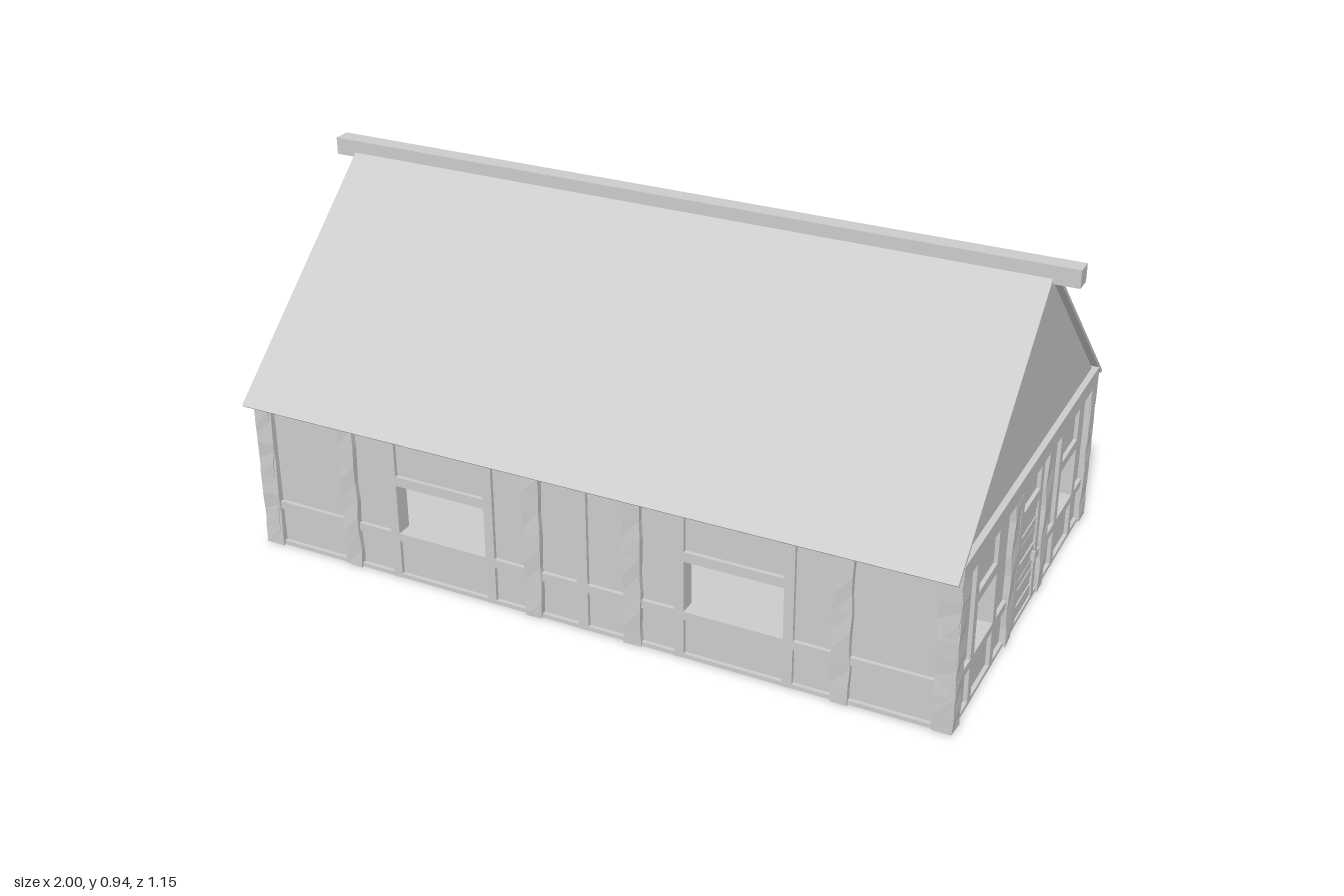
import * as THREE from 'three';

const material = new THREE.MeshStandardMaterial({ color: 0xcccccc, flatShading: true, side: THREE.DoubleSide });
const HALF_X = 0.937, HALF_Z = 0.54, WALL_TOP = 0.395, PLATE_TOP = 0.44;
const SILL = 0.13, LINTEL = 0.267, DEPTH = 0.05;

function add(parent, name, geometry) {
  const mesh = new THREE.Mesh(geometry, material);
  mesh.name = name;
  parent.add(mesh);
  return mesh;
}

// Box given by its limits on each axis
function box(parent, name, [x0, x1], [y0, y1], [z0, z1], segY = 1) {
  const g = new THREE.BoxGeometry(x1 - x0, y1 - y0, z1 - z0, 1, segY, 1);
  g.translate((x0 + x1) / 2, (y0 + y1) / 2, (z0 + z1) / 2);
  return add(parent, name, g);
}

// Upright post with a gently uneven, hand-hewn outline
function post(parent, x0, x1, seed) {
  const mesh = box(parent, 'post', [x0, x1], [0, WALL_TOP], [-DEPTH, 0], 8);
  const p = mesh.geometry.attributes.position;
  for (let i = 0; i < p.count; i++) {
    const y = p.getY(i), side = Math.sign(p.getX(i) - (x0 + x1) / 2);
    p.setX(i, p.getX(i) + 0.002 * Math.sin(y * 43 + seed * 2.3 + side));
    if (p.getZ(i) > -0.01) p.setZ(i, 0.002 * Math.sin(y * 37 + seed * 1.7 + side * 2));
  }
  mesh.geometry.computeVertexNormals();
}

function rectPath(x0, x1, y0, y1) {
  return new THREE.Path([[x0, y0], [x1, y0], [x1, y1], [x0, y1]].map(([x, y]) => new THREE.Vector2(x, y)));
}

// Timber-framed wall: local x runs along it, local z = 0 is its outer face
function buildWall(name, half, { posts, windows, studs, rails, door }) {
  const wall = new THREE.Group();
  wall.name = name;

  // Recessed infill with openings
  const inner = half - 0.02;
  const shape = new THREE.Shape(rectPath(-inner, inner, 0, WALL_TOP + 0.02).getPoints());
  for (const [a, b] of windows) shape.holes.push(rectPath(a, b, SILL, LINTEL));
  const infill = new THREE.ExtrudeGeometry(shape, { depth: 0.03, bevelEnabled: false });
  infill.translate(0, 0, -0.045);
  add(wall, 'infill', infill);

  // Posts, studs and middle rails
  posts.forEach(([a, b], i) => post(wall, a, b, i + half * 5));
  const front = [-DEPTH + 0.002, -0.005];
  for (const s of studs) box(wall, 'stud', s, [0, WALL_TOP], front);
  for (const r of rails) box(wall, 'rail', r, [0.108, SILL], front);

  // Window sills and lintels
  for (const w of windows) {
    box(wall, 'windowSill', w, [0.108, SILL], front);
    box(wall, 'windowLintel', w, [LINTEL, 0.293], front);
  }
  if (door) buildDoor(wall, front);

  // Top plate
  box(wall, 'topPlate', [-half, half], [WALL_TOP, PLATE_TOP], [-DEPTH, 0.001]);
  return wall;
}

// Door of horizontal boards, with lintel and handle
function buildDoor(wall, front) {
  const door = new THREE.Group();
  door.name = 'door';
  wall.add(door);
  const count = 12, step = 0.29 / count;
  for (let i = 0; i < count; i++) {
    const board = box(door, 'doorBoard', [-0.066, 0.066], [i * step + 0.001, (i + 1) * step - 0.001],
      [-0.025, -0.0095 + 0.0015 * Math.sin(i * 2.4)]);
    board.rotation.z = 0.004 * Math.sin(i * 1.9);
  }
  box(door, 'doorHandle', [0.05, 0.056], [0.125, 0.15], [-0.012, 0.001]);
  box(wall, 'doorLintel', [-0.066, 0.066], [0.29, 0.32], front);
}

// Spans on one side of centre, repeated on the other
const mirror = (spans) => spans.flatMap(([a, b]) => [[a, b], [-b, -a]]);

export function createModel() {
  const house = new THREE.Group();
  house.name = 'timberFramedHouse';

  // Long walls
  const longLayout = {
    posts: mirror([[0.893, HALF_X], [0.642, 0.687], [0.112, 0.158]]),
    windows: mirror([[0.27, 0.522]]),
    studs: [...mirror([[0.522, 0.547], [0.245, 0.27]]), [-0.014, 0.014]],
    rails: mirror([[0.687, 0.893], [0.547, 0.642], [0.158, 0.245], [0.014, 0.112]]),
  };
  for (const s of [1, -1]) {
    const wall = buildWall(s > 0 ? 'frontWall' : 'backWall', HALF_X, longLayout);
    wall.position.z = s * HALF_Z;
    if (s < 0) wall.rotation.y = Math.PI;
    house.add(wall);
  }

  // End walls, the left-hand one (+x) with the door
  const endLayout = {
    posts: mirror([[0.492, HALF_Z], [0.11, 0.157]]),
    windows: mirror([[0.262, 0.397]]),
    studs: mirror([[0.397, 0.423], [0.236, 0.262], [0.066, 0.09]]),
    rails: mirror([[0.423, 0.492], [0.157, 0.236], [0.09, 0.11]]),
  };
  const plainEnd = { ...endLayout, rails: [...endLayout.rails, [-0.066, 0.066]] };
  for (const s of [1, -1]) {
    const wall = buildWall(s > 0 ? 'doorEndWall' : 'plainEndWall', HALF_Z,
      s > 0 ? { ...endLayout, door: true } : plainEnd);
    wall.position.x = s * HALF_X;
    wall.rotation.y = s * Math.PI / 2;
    house.add(wall);

    // Gable triangle
    const triangle = new THREE.Shape([
      new THREE.Vector2(-0.53, PLATE_TOP - 0.006), new THREE.Vector2(0.53, PLATE_TOP - 0.006),
      new THREE.Vector2(0.012, 0.898), new THREE.Vector2(-0.012, 0.898)]);
    const gable = add(house, 'gable', new THREE.ExtrudeGeometry(triangle, { depth: 0.02, bevelEnabled: false }));
    gable.rotation.y = s * Math.PI / 2;
    gable.position.x = s * (HALF_X - 0.035);
  }

  // Floor
  box(house, 'floor', [-HALF_X + 0.005, HALF_X - 0.005], [0.001, 0.012], [-HALF_Z + 0.005, HALF_Z - 0.005]);

  // Roof slopes: thin slabs from eaves to ridge
  for (const s of [1, -1]) {
    const section = new THREE.Shape([[0.577, 0.414], [0.01, 0.917], [0.01, 0.905], [0.57, 0.408]]
      .map(([z, y]) => new THREE.Vector2(-s * z, y)));
    const slope = add(house, s > 0 ? 'frontRoof' : 'backRoof',
      new THREE.ExtrudeGeometry(section, { depth: 1.88, bevelEnabled: false }));
    slope.rotation.y = Math.PI / 2;
    slope.position.x = -0.943;
  }

  // Ridge beam
  box(house, 'ridgeBeam', [-1, 1], [0.893, 0.938], [-0.023, 0.023]);
  return house;
}
